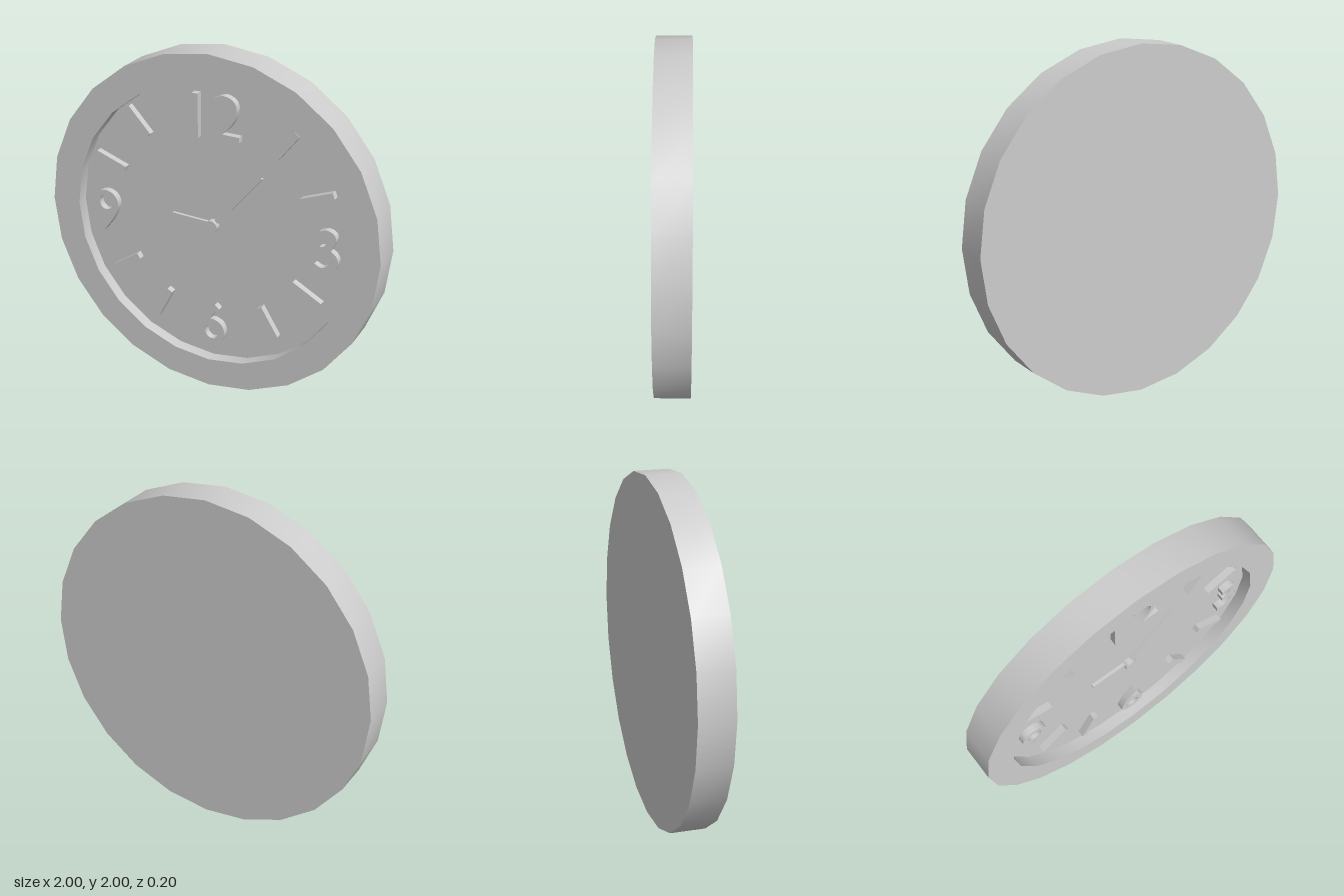
import * as THREE from 'three';
import { toCreasedNormals } from 'three/addons/utils/BufferGeometryUtils.js';

const DIAL = 0.03;    // z of the recessed dial
const RELIEF = 0.04;  // height of the hour marks above it

export function createModel() {
  const clock = new THREE.Group();
  clock.name = 'wallClock';
  const material = new THREE.MeshStandardMaterial({ color: 0xcccccc });

  const add = (name, geometry, x = 0, y = 1, z = 0, angle = 0) => {
    const mesh = new THREE.Mesh(geometry, material);
    mesh.name = name;
    mesh.position.set(x, y, z);
    mesh.rotation.z = angle;
    clock.add(mesh);
    return mesh;
  };

  // Case: back, rim and recessed dial turned as one 24-sided profile
  const profile = [[0, -0.1], [1, -0.1], [1, 0.1], [0.83, 0.1], [0.83, DIAL], [0, DIAL]]
    .map(([r, h]) => new THREE.Vector2(r, h));
  const caseGeometry = new THREE.LatheGeometry(profile, 24);
  caseGeometry.rotateX(Math.PI / 2);
  add('case', toCreasedNormals(caseGeometry, 0.6));

  // Plain hour bars: x, y, tilt in degrees
  const bars = [
    [0.44, 1.553, 52], [0.623, 1.291, 20.4], [0.575, 0.711, -29.5], [0.35, 0.481, -58.5],
    [-0.307, 0.457, 62.7], [-0.545, 0.668, 33], [-0.628, 1.281, -20.4], [-0.447, 1.548, -47.7],
  ];
  const barGeometry = new THREE.BoxGeometry(0.195, 0.036, RELIEF);
  bars.forEach(([x, y, tilt]) =>
    add('hourBar', barGeometry, x, y, DIAL + RELIEF / 2, THREE.MathUtils.degToRad(tilt)));

  // Raised numerals: smooth runs of points (hundredths of a unit) joined by straight edges
  const numeral = (runs, hole) => {
    const points = runs.flatMap((run) => {
      const v = run.map(([x, y]) => new THREE.Vector2(x / 100, y / 100));
      return v.length > 2 ? new THREE.SplineCurve(v).getPoints((v.length - 1) * 5) : v;
    });
    const shape = new THREE.Shape(points);
    if (hole) {
      const path = new THREE.Path();
      path.absellipse(0, hole.y / 100, hole.rx / 100, hole.ry / 100, 0, Math.PI * 2);
      shape.holes.push(path);
    }
    const geometry = new THREE.ExtrudeGeometry(shape, { depth: RELIEF, bevelEnabled: false, curveSegments: 10 });
    return toCreasedNormals(geometry, 0.6);
  };

  const two = numeral([
    [[-7.4, 9.9], [-1.5, 12.5], [4.6, 10.3], [6.5, 5], [3.9, -2.6], [-2, -9.1]],
    [[7.9, -9.4], [7.9, -12.6]],
    [[-7.9, -12.1], [-1, -5.1], [2.4, 0.5], [2.5, 5.2], [-1.5, 9.3], [-7.4, 5.6]],
  ]);
  const three = numeral([
    [[-4.5, 11.4], [-0.3, 12.8], [3.8, 11.3], [5.1, 7.5], [2.4, 1.1]],
    [[2.4, 1.1], [5.6, -1.5], [6.7, -5.3], [4.2, -10.6], [-1.9, -12.8], [-6.7, -11.8]],
    [[-6.7, -8], [-1.9, -9.6], [2.9, -5.3], [-0.8, -0.8], [-4, -0.5]],
    [[-4, 2.7], [-1.3, 3.2], [1.3, 7], [-0.8, 9.6], [-4.5, 7.7]],
  ]);
  const six = numeral([
    [[4.5, 10.2], [1.5, 7], [-1.3, 2.9]],
    [[0.8, 3.2], [5.6, 1], [7.8, -4.5], [5.6, -10.3], [0, -12.6], [-5.6, -10.3],
      [-7.8, -4.5], [-4.5, 4], [1.9, 12.6]],
  ], { y: -5.1, rx: 4.2, ry: 4.5 });

  add('twelveStem', new THREE.BoxGeometry(0.037, 0.252, RELIEF), -0.093, 1.639, DIAL + RELIEF / 2);
  add('twelveCurve', two, 0.09, 1.65, DIAL);
  add('threeMark', three, 0.687, 0.995, DIAL);
  add('sixMark', six, 0.008, 0.393, DIAL);
  add('nineMark', six, -0.667, 0.971, DIAL, Math.PI);

  // Tapered hands pointing from the hub to (x, y)
  const hand = (name, x, y, baseHalf, tipHalf) => {
    const length = Math.hypot(x, y);
    const shape = new THREE.Shape([[0, -baseHalf], [length, -tipHalf], [length, tipHalf], [0, baseHalf]]
      .map(([a, b]) => new THREE.Vector2(a, b)));
    const geometry = new THREE.ExtrudeGeometry(shape, { depth: 0.018, bevelEnabled: false });
    add(name, geometry, 0, 1, DIAL, Math.atan2(y, x));
  };
  hand('hourHand', -0.25, 0.027, 0.018, 0.006);
  hand('minuteHand', 0.294, 0.335, 0.014, 0.004);

  // Hub
  const hub = new THREE.CylinderGeometry(0.036, 0.036, 0.037, 20);
  hub.rotateX(Math.PI / 2);
  add('hub', hub, 0, 1, DIAL + 0.0185);

  return clock;
}
